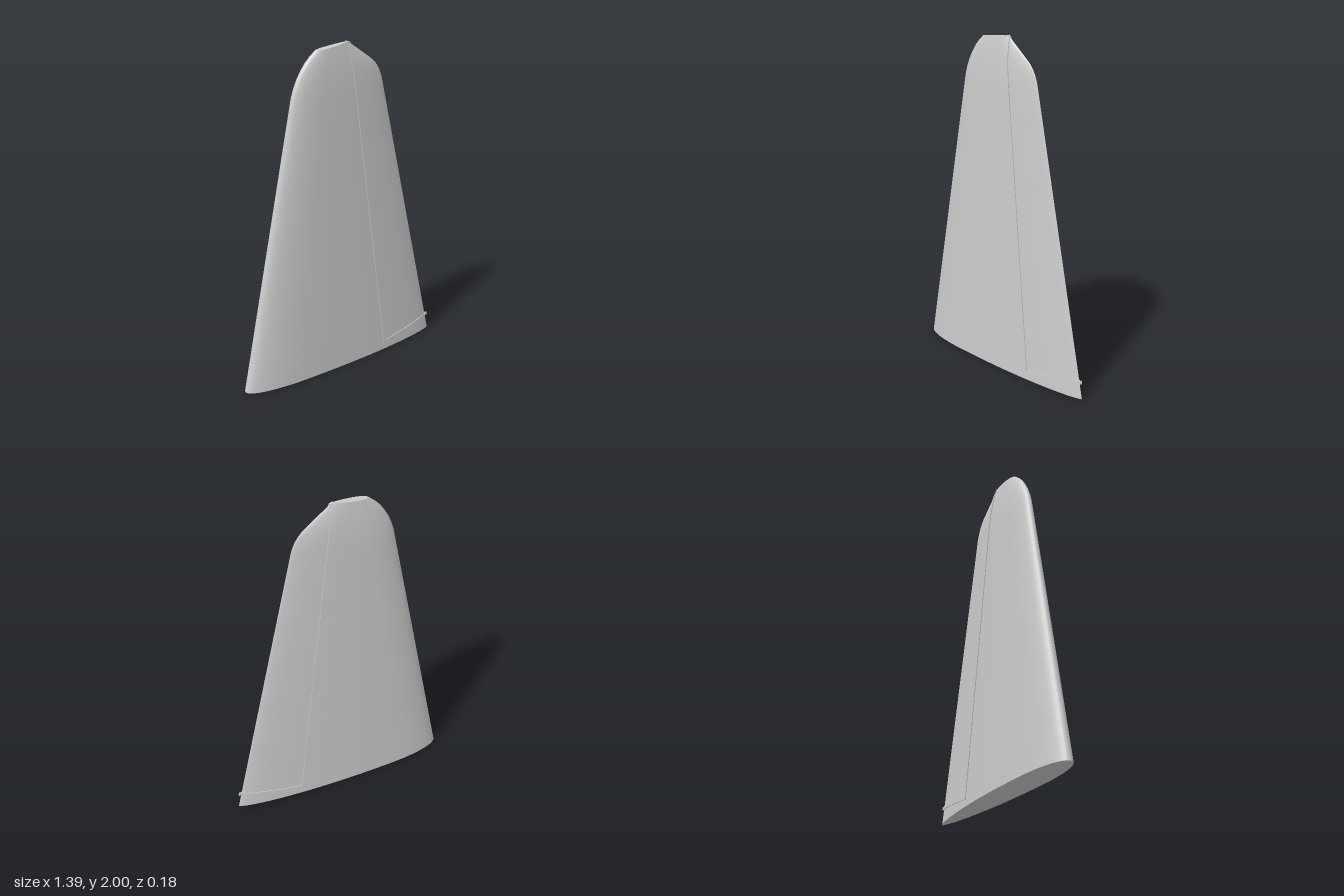
import * as THREE from 'three';
import { toCreasedNormals } from 'three/addons/utils/BufferGeometryUtils.js';

// Fin sections: leading x, leading y, trailing x, trailing y, half thickness
const SECTIONS = [
  [-0.7, 0, 0.695, 0, 0.091],
  [-0.353, 1.68, 0.3, 1.71, 0.05],
  [-0.343, 1.73, 0.288, 1.76, 0.0475],
  [-0.327, 1.78, 0.272, 1.8, 0.045],
  [-0.305, 1.83, 0.25, 1.836, 0.0415],
  [-0.28, 1.872, 0.222, 1.866, 0.038],
  [-0.25, 1.913, 0.185, 1.894, 0.034],
  [-0.217, 1.946, 0.125, 1.938, 0.029],
  [-0.18, 1.975, 0.045, 1.997, 0.023],
];

// Airfoil half thickness (0..1) along the chord, both ends rounded
function airfoil(u) {
  if (u < 0.3) return Math.pow(Math.max(0, 1 - Math.pow(1 - u / 0.3, 2.3)), 0.48);
  return Math.pow(Math.max(0, 1 - Math.pow((u - 0.3) / 0.7, 2.2)), 0.7);
}

function sectionAt(s) {
  const i = Math.min(Math.floor(s), SECTIONS.length - 2);
  return SECTIONS[i].map((v, k) => v + (SECTIONS[i + 1][k] - v) * (s - i));
}

// Half thickness of the fin at a point of its side elevation
function halfThickness(x, y) {
  let lo = 0, hi = SECTIONS.length - 1, u = 0;
  for (let n = 0; n < 30; n++) {
    const s = (lo + hi) / 2, [lx, ly, tx, ty] = sectionAt(s);
    u = THREE.MathUtils.clamp((x - lx) / (tx - lx), 0, 1);
    if (ly + (ty - ly) * u < y) lo = s; else hi = s;
  }
  return sectionAt(lo)[4] * airfoil(u);
}

function buildGeometry(points, index) {
  const g = new THREE.BufferGeometry();
  g.setAttribute('position', new THREE.Float32BufferAttribute(points.flat(), 3));
  g.setIndex(index);
  g.computeVertexNormals();
  return g;
}

// Closed outline of one section
function outline(s, count) {
  const [lx, ly, tx, ty, t] = sectionAt(s);
  return Array.from({ length: count }, (_, i) => {
    const a = (i / count) * Math.PI * 2, u = (1 - Math.cos(a)) / 2;
    return [lx + (tx - lx) * u, ly + (ty - ly) * u, Math.sign(Math.sin(a)) * t * airfoil(u)];
  });
}

// Quads between successive rings of `count` points
function ringIndex(rings, count, closed) {
  const index = [];
  for (let j = 0; j < (closed ? rings : rings - 1); j++) {
    for (let i = 0; i < count; i++) {
      const a = j * count + i, b = j * count + (i + 1) % count;
      const d = ((j + 1) % rings) * count + i, c = ((j + 1) % rings) * count + (i + 1) % count;
      index.push(a, b, c, a, c, d);
    }
  }
  return index;
}

function capGeometry(s, count, up) {
  const [lx, ly, tx, ty] = sectionAt(s);
  const points = [...outline(s, count), [(lx + tx) / 2, (ly + ty) / 2, 0]];
  const index = [];
  for (let i = 0; i < count; i++) {
    const j = (i + 1) % count;
    index.push(count, up ? i : j, up ? j : i);
  }
  return buildGeometry(points, index);
}

// Raised strip round the rudder, wrapping from one side to the other
function stripGeometry() {
  const edgeA = [[0.034, 2.0], [0.278, 0.04], [0.69, 0.09]];
  const edgeB = [[0.058, 1.994], [0.295, 0.06], [0.686, 0.108]];
  const mix = (p, q, t) => [p[0] + (q[0] - p[0]) * t, p[1] + (q[1] - p[1]) * t];
  const path = [];
  for (let k = 0; k <= 48; k++) path.push([0, (k / 48) ** 2]);
  for (let k = 1; k <= 24; k++) path.push([1, 1 - (1 - k / 24) ** 2]);

  const ring = (leg, t, side) => {
    const a = mix(edgeA[leg], edgeA[leg + 1], t), b = mix(edgeB[leg], edgeB[leg + 1], t);
    const za = halfThickness(...a), zb = halfThickness(...b);
    return [
      [...a, side * (za + 0.005)], [...a, side * Math.max(0, za - 0.008)],
      [...b, side * Math.max(0, zb - 0.008)], [...b, side * (zb + 0.005)],
    ];
  };
  const points = [];
  for (const [leg, t] of path) points.push(...ring(leg, t, 1));
  for (const [leg, t] of [...path].reverse()) points.push(...ring(leg, t, -1));
  // Corner order runs A outer, A inner, B inner, B outer, so flip the quads
  const index = ringIndex(path.length * 2, 4, true);
  return toCreasedNormals(buildGeometry(points, index), 0.6);
}

export function createModel() {
  const group = new THREE.Group();
  group.name = 'tailFin';
  const material = new THREE.MeshStandardMaterial({ color: 0xcccccc });
  const add = (name, geometry, mat = material) => {
    const mesh = new THREE.Mesh(geometry, mat);
    mesh.name = name;
    group.add(mesh);
  };

  // Fin skin: straight taper, then the rounded tip
  const count = 80, levels = [];
  for (let k = 0; k < 12; k++) levels.push(k / 12);
  for (let s = 1; s < SECTIONS.length; s++) levels.push(s);
  const skin = levels.flatMap((s) => outline(s, count));
  add('finSkin', buildGeometry(skin, ringIndex(levels.length, count, false)));

  // Flat ends
  add('finRoot', capGeometry(0, count, false));
  add('finTip', capGeometry(SECTIONS.length - 1, count, true));

  // Rudder outline
  const stripMaterial = material.clone();
  stripMaterial.side = THREE.DoubleSide;
  add('rudderSeam', stripGeometry(), stripMaterial);
  return group;
}
